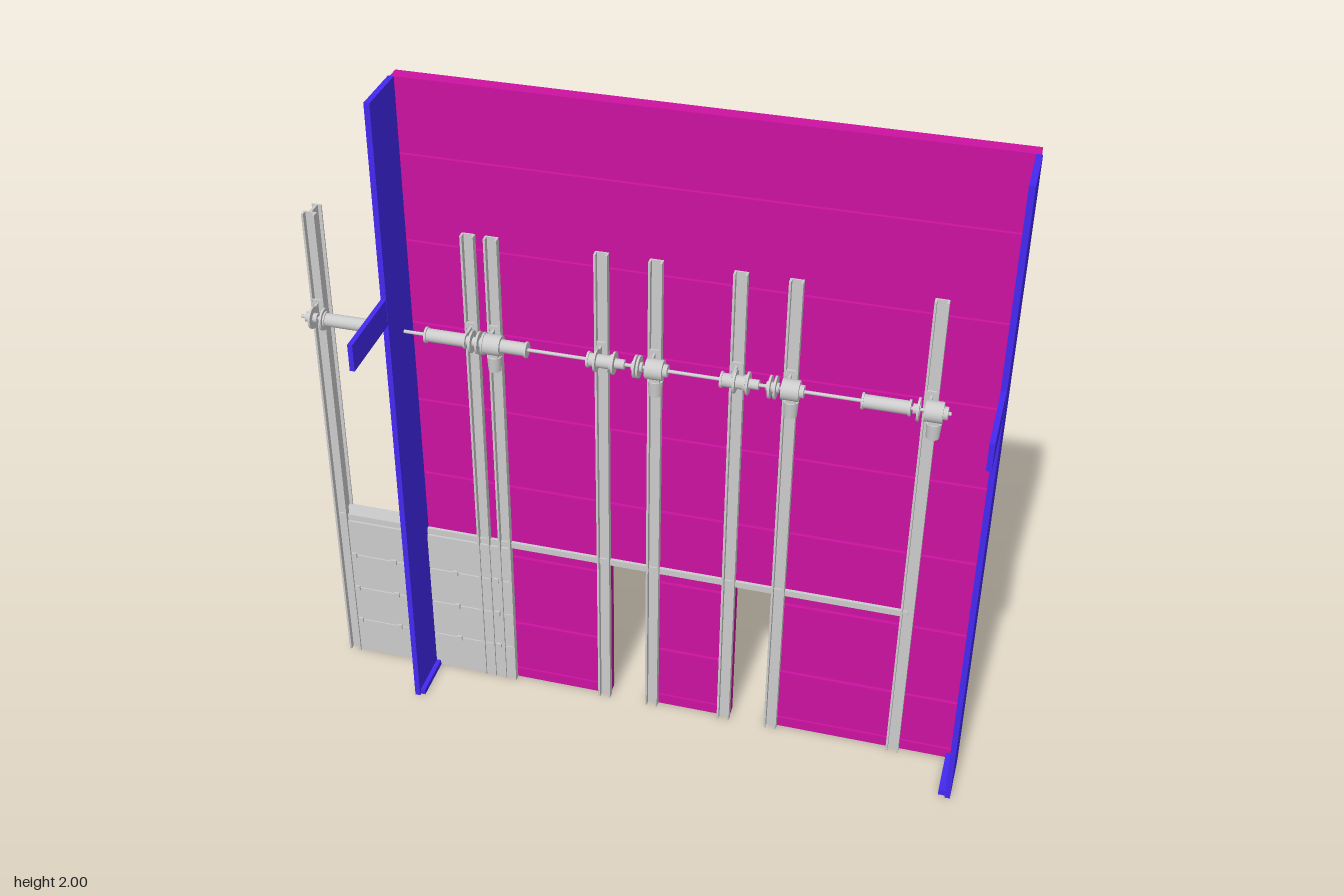
import * as THREE from 'three';

const grey = new THREE.MeshStandardMaterial({ color: 0xcccccc });
const magenta = new THREE.MeshStandardMaterial({ color: 0xcc12a0 });
const blue = new THREE.MeshStandardMaterial({ color: 0x4428f0 });

export function createModel() {
  const model = new THREE.Group();

  const part = (name, parent = model) => {
    const g = new THREE.Group();
    g.name = name;
    parent.add(g);
    return g;
  };
  // Box given by its limits on each axis
  const box = (parent, name, mat, x0, x1, y0, y1, z0, z1) => {
    const m = new THREE.Mesh(new THREE.BoxGeometry(x1 - x0, y1 - y0, z1 - z0), mat);
    m.position.set((x0 + x1) / 2, (y0 + y1) / 2, (z0 + z1) / 2);
    m.name = name;
    parent.add(m);
    return m;
  };

  // Wall: a backing sheet with two doorways, faced with planks split by grooves
  const wall = part('wall');
  const lintelY = 0.52;
  const spans = [[-0.685, -0.105], [0.01, 0.275], [0.385, 0.972]];
  const outline = new THREE.Shape();
  outline.moveTo(-0.685, 0);
  spans.forEach(([x0, x1], i) => {
    if (i) outline.lineTo(x0, lintelY).lineTo(x0, 0);
    outline.lineTo(x1, 0);
    if (i < 2) outline.lineTo(x1, lintelY);
  });
  outline.lineTo(0.972, 2).lineTo(-0.685, 2);
  const sheet = new THREE.Mesh(new THREE.ExtrudeGeometry(outline, { depth: 0.03, bevelEnabled: false }), magenta);
  sheet.position.z = -0.22;
  sheet.name = 'wallSheet';
  wall.add(sheet);
  const seams = [0, 0.035, 0.222, 0.483, 0.745, 1.005, 1.265, 1.525, 1.785, 2];
  for (let i = 0; i + 1 < seams.length; i++) {
    const y0 = seams[i] + (i ? 0.005 : 0);
    const y1 = seams[i + 1] - (i < 8 ? (i ? 0.005 : 0.001) : 0);
    const full = y0 > 0.45;
    for (const [x0, x1] of full ? [[-0.685, 0.972]] : spans)
      box(wall, 'plank', magenta, x0, x1, Math.max(y0, full ? lintelY : 0), y1, -0.19, -0.18);
  }

  // Side posts with a forward arm and an inward foot
  for (const [name, x0, x1, f0, f1] of [
    ['rightPost', -0.69, -0.674, -0.674, -0.66],
    ['leftPost', 0.96, 0.976, 0.94, 0.96],
  ]) {
    const post = part(name);
    box(post, 'postPlate', blue, x0, x1, 0, 2, -0.18, -0.012);
    box(post, 'postArm', blue, x0 + 0.001, x1 - 0.001, 1.35, 1.43, -0.012, 0.225);
    box(post, 'postFoot', blue, f0, f1, 0, 0.018, -0.18, -0.02);
  }

  // Vertical rails: I-shaped studs through the wall with a lipped track in front
  const railX = [-0.95, -0.493, -0.427, -0.12, 0.03, 0.258, 0.405, 0.78];
  const railTop = 1.57;
  const section = new THREE.Shape();
  [[-0.014, 0], [0.014, 0], [0.014, 0.004], [0.004, 0.004], [0.004, 0.045], [0.019, 0.045],
    [0.019, 0.066], [0.013, 0.066], [0.013, 0.05], [-0.013, 0.05], [-0.013, 0.066], [-0.019, 0.066],
    [-0.019, 0.045], [-0.004, 0.045], [-0.004, 0.004], [-0.014, 0.004],
  ].forEach(([x, d], i) => (i ? section.lineTo(x, -d) : section.moveTo(x, -d)));
  const railGeo = new THREE.ExtrudeGeometry(section, { depth: railTop, bevelEnabled: false });
  railGeo.rotateX(-Math.PI / 2);
  for (const x of railX) {
    const rail = new THREE.Mesh(railGeo, grey);
    rail.position.set(x, 0, -0.225);
    rail.name = 'rail';
    model.add(rail);
  }
  box(model, 'lintel', grey, -0.96, 0.78, lintelY, 0.54, -0.224, -0.17);

  // Sectional door
  const door = part('door');
  box(door, 'doorBacking', grey, -0.935, -0.412, 0, lintelY, -0.178, -0.172);
  for (let i = 0; i < 4; i++) {
    const y = i * 0.13;
    box(door, 'doorPanel', grey, -0.935, -0.412, y + 0.002, y + 0.128, -0.172, -0.165);
    if (i) for (const x of [-0.92, -0.79, -0.59, -0.46])
      box(door, 'hinge', grey, x - 0.008, x + 0.008, y - 0.008, y + 0.008, -0.165, -0.158);
  }

  // Winding shaft with drums and collars
  const shaftY = 1.27, shaftZ = -0.115;
  const shaft = part('windingShaft');
  const roller = (parent, name, x0, x1, r) => {
    const m = new THREE.Mesh(new THREE.CylinderGeometry(r, r, x1 - x0, 24), grey);
    m.rotation.z = Math.PI / 2;
    m.position.set((x0 + x1) / 2, shaftY, shaftZ);
    m.name = name;
    parent.add(m);
  };
  roller(shaft, 'shaftRod', -0.98, 0.84, 0.005);
  for (const [x0, x1] of [[-0.91, -0.775], [-0.61, -0.49], [-0.4, -0.315],
    [-0.145, -0.075], [0.225, 0.295], [0.605, 0.735]]) {
    roller(shaft, 'springDrum', x0 + 0.005, x1 - 0.005, 0.019);
    roller(shaft, 'drumRim', x0, x0 + 0.006, 0.023);
    roller(shaft, 'drumRim', x1 - 0.006, x1, 0.023);
  }
  for (const x of [-0.945, -0.912, -0.475, -0.455, -0.44, -0.12, -0.07, -0.01, 0.0, 0.265, 0.3, 0.36, 0.375, 0.755])
    roller(shaft, 'cableDisc', x - 0.003, x + 0.003, 0.032);
  for (const [x0, x1] of [[-0.965, -0.93], [-0.49, -0.43], [-0.07, -0.04], [-0.02, 0.01],
    [0.3, 0.33], [0.35, 0.385], [0.74, 0.76]])
    roller(shaft, 'bearing', x0, x1, 0.014);

  // Drive units hanging from the shaft
  for (const x of [-0.412, 0.046, 0.418, 0.798]) {
    const drive = part('driveUnit', shaft);
    roller(drive, 'gearbox', x - 0.026, x + 0.022, 0.029);
    roller(drive, 'gearboxCap', x + 0.022, x + 0.034, 0.018);
    box(drive, 'motorNeck', grey, x - 0.014, x + 0.014, 1.235, 1.25, -0.13, -0.1);
    const motor = new THREE.Mesh(new THREE.CylinderGeometry(0.021, 0.018, 0.046, 20), grey);
    motor.position.set(x, 1.213, shaftZ);
    motor.name = 'motor';
    drive.add(motor);
  }

  // Brackets from the rails to the shaft
  for (const x of railX) {
    const bracket = part('shaftBracket');
    box(bracket, 'bracketArm', grey, x - 0.003, x + 0.003, 1.25, 1.29, -0.162, -0.105);
    box(bracket, 'bracketBase', grey, x - 0.017, x + 0.017, 1.24, 1.3, -0.166, -0.16);
  }
  return model;
}
